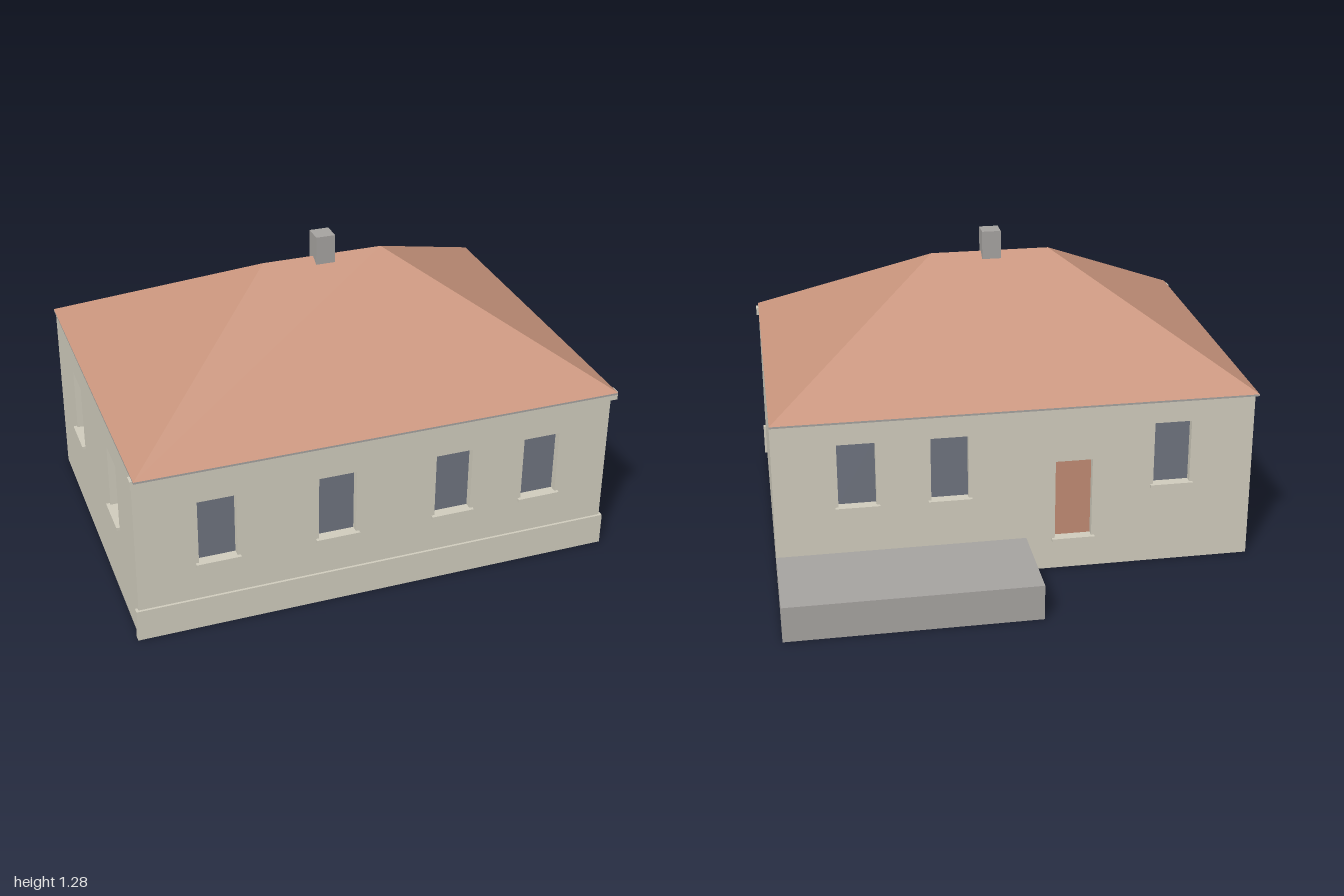
import * as THREE from 'three';

const mat = (name, color) => {
  const m = new THREE.MeshStandardMaterial({ color });
  m.name = name;
  return m;
};

export function createModel() {
  const plaster = mat('plaster', 0xd0ccbd);
  const tile = mat('roofTile', 0xc8947c);
  const concrete = mat('concrete', 0xa6a3a0);
  const glass = mat('glass', 0x6e737f);
  const wood = mat('doorWood', 0xc08b74);

  const house = new THREE.Group();
  house.name = 'house';

  // Box given by its limits on each axis
  const box = (parent, name, material, [x0, x1], [y0, y1], [z0, z1]) => {
    const mesh = new THREE.Mesh(new THREE.BoxGeometry(x1 - x0, y1 - y0, z1 - z0), material);
    mesh.position.set((x0 + x1) / 2, (y0 + y1) / 2, (z0 + z1) / 2);
    mesh.name = name;
    parent.add(mesh);
    return mesh;
  };

  const X0 = -0.985, X1 = 0.99, ZB = -0.51, ZF = 0.86;
  const wallTop = 0.74, reveal = 0.03;

  const rect = (P, a, b, c, d) => {
    const p = new P();
    p.moveTo(a, c);
    p.lineTo(b, c);
    p.lineTo(b, d);
    p.lineTo(a, d);
    p.closePath();
    return p;
  };

  // Wall facing local +z, with recessed openings, panes and sills
  const wall = (name, u0, u1, openings, position, turn) => {
    const side = new THREE.Group();
    side.name = name;
    const shape = rect(THREE.Shape, u0, u1, 0, wallTop);
    for (const o of openings) {
      const a = o.u - 0.077, b = o.u + 0.077;
      shape.holes.push(rect(THREE.Path, a, b, o.y0, o.y1));
      box(side, o.door ? 'door' : 'windowPane', o.door ? wood : glass,
        [a, b], [o.y0, o.y1], [-reveal - 0.006, -reveal]);
      box(side, o.door ? 'doorSill' : 'windowSill', plaster,
        [a - 0.013, b + 0.013], [o.y0 - 0.008, o.y0 + 0.005], [-reveal, 0.015]);
    }
    const geo = new THREE.ExtrudeGeometry(shape, { depth: reveal, bevelEnabled: false });
    geo.translate(0, 0, -reveal);
    const mesh = new THREE.Mesh(geo, plaster);
    mesh.name = name + 'Surface';
    side.add(mesh);
    side.position.set(...position);
    side.rotation.y = turn;
    house.add(side);
  };

  const low = (u) => ({ u, y0: 0.295, y1: 0.575 });
  const high = (u) => ({ u, y0: 0.35, y1: 0.628 });
  const door = (u) => ({ u, y0: 0.135, y1: 0.487, door: true });

  wall('frontWall', X0, X1, [-0.662, -0.176, 0.313, 0.693].map(low), [0, 0, ZF], 0);
  wall('backWall', -X1, -X0, [high(-0.655), high(-0.28), door(0.232), high(0.644)], [0, 0, ZB], Math.PI);
  wall('rightWall', ZB + reveal, ZF - reveal, [-0.11, 0.52].map(high), [X0, 0, 0], -Math.PI / 2);
  wall('leftWall', -ZF + reveal, -ZB - reveal, [], [X1, 0, 0], Math.PI / 2);

  // Floor seen from below
  const floor = new THREE.Mesh(new THREE.PlaneGeometry(X1 - X0, ZF - ZB), concrete);
  floor.rotation.x = Math.PI / 2;
  floor.position.set((X0 + X1) / 2, -0.0005, (ZF + ZB) / 2);
  floor.name = 'floor';
  house.add(floor);

  // Plinth and cornice along the front
  box(house, 'plinth', plaster, [-0.995, 1], [0, 0.135], [0.845, 0.87]);
  box(house, 'cornice', plaster, [-0.995, 1], [0.706, 0.741], [0.855, 0.893]);

  // Terrace behind the house
  box(house, 'terrace', concrete, [-0.035, X1], [0, 0.15], [-0.912, ZB]);

  // Eaves board and hipped roof
  const RZ0 = -0.56, RZ1 = 0.91, ridgeZ = 0.175, eave = 0.747, ridge = 1.182;
  box(house, 'eavesBoard', concrete, [X0, X1], [0.739, eave], [RZ0, RZ1]);

  const fl = [X0, eave, RZ1], fr = [X1, eave, RZ1], bl = [X0, eave, RZ0], br = [X1, eave, RZ0];
  const rl = [-0.25, ridge, ridgeZ], rr = [0.255, ridge, ridgeZ];
  const faces = [
    fl, fr, rr, fl, rr, rl, // front slope
    br, bl, rl, br, rl, rr, // back slope
    fr, br, rr, // side hips
    bl, fl, rl,
  ];
  const roofGeo = new THREE.BufferGeometry();
  roofGeo.setAttribute('position', new THREE.Float32BufferAttribute(faces.flat(), 3));
  roofGeo.computeVertexNormals();
  const roof = new THREE.Mesh(roofGeo, tile);
  roof.name = 'hippedRoof';
  house.add(roof);

  // Chimney on the ridge
  box(house, 'chimney', concrete, [-0.038, 0.042], [1.13, 1.278], [0.133, 0.214]);

  return house;
}
